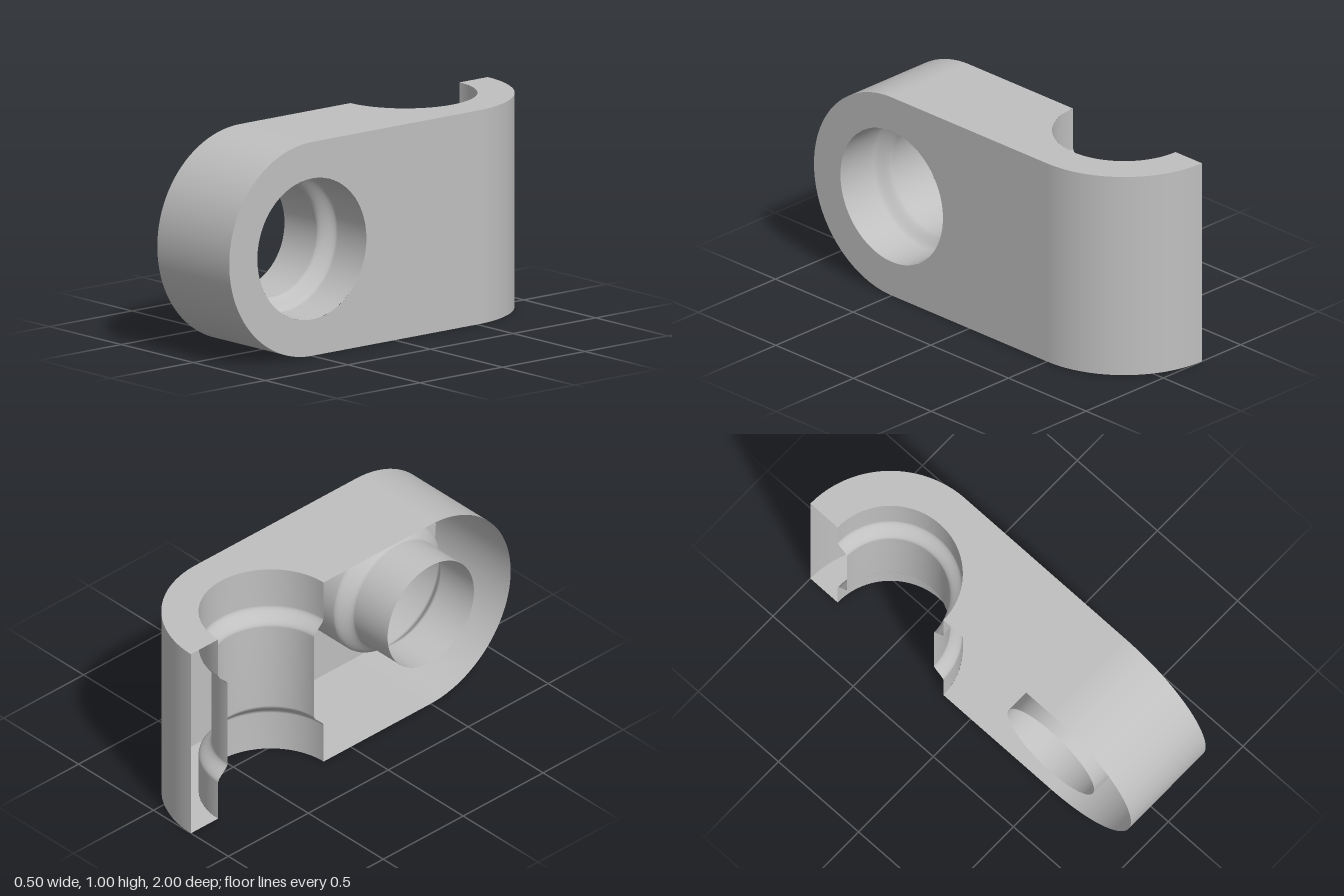
import * as THREE from 'three';

const steel = new THREE.MeshStandardMaterial({ color: 0xc0c0c0, side: THREE.DoubleSide });
steel.name = 'lightGrey';

const HALF = 0.5;    // end radius, half of the link height
const WIDE = 0.33;   // counterbore radius
const NARROW = 0.27; // inner bore radius
const CUT = -0.25;   // x of the open section plane

// Bore half-profile: narrow from the middle (0), easing out to wide at the mouth (0.5)
function boreProfile() {
  const points = [new THREE.Vector2(NARROW, 0)];
  for (let i = 0; i <= 8; i++) {
    const t = i / 8;
    const ease = t * t * (3 - 2 * t);
    points.push(new THREE.Vector2(NARROW + (WIDE - NARROW) * ease, 0.22 + 0.08 * t));
  }
  points.push(new THREE.Vector2(WIDE, 0.5));
  return points;
}

export function createModel() {
  const group = new THREE.Group();
  group.name = 'sectionedLink';
  const add = (name, geometry) => {
    const mesh = new THREE.Mesh(geometry, steel);
    mesh.name = name;
    group.add(mesh);
  };

  // Flat side with the round bore mouth (shape x is -z)
  const side = new THREE.Shape();
  side.moveTo(0.5, 0);
  side.lineTo(0.5, 1);
  side.lineTo(-0.5, 1);
  side.absarc(-0.5, 0.5, HALF, Math.PI / 2, Math.PI * 1.5, false);
  side.closePath();
  const mouth = new THREE.Path();
  mouth.absarc(-0.5, 0.5, WIDE, 0, Math.PI * 2, true);
  side.holes.push(mouth);
  add('sidePlate', new THREE.ShapeGeometry(side, 48).rotateY(Math.PI / 2).translate(0.25, 0, 0));

  // Top and bottom faces, rounded at the back and notched by the half bore (shape y is -z)
  const cap = new THREE.Shape();
  cap.moveTo(CUT, -0.5);
  cap.lineTo(0.25, -0.5);
  cap.lineTo(0.25, 0.5);
  cap.absarc(CUT, 0.5, HALF, 0, Math.PI / 2, false);
  cap.lineTo(CUT, 0.5 + WIDE);
  cap.absarc(CUT, 0.5, WIDE, Math.PI / 2, -Math.PI / 2, true);
  cap.closePath();
  for (const [name, y] of [['topPlate', 1], ['bottomPlate', 0]]) {
    add(name, new THREE.ShapeGeometry(cap, 48).rotateX(-Math.PI / 2).translate(0, y, 0));
  }

  // Rounded front wall, a half cylinder lying along x
  add('frontWall', new THREE.CylinderGeometry(HALF, HALF, 0.5, 48, 1, true, -Math.PI / 2, Math.PI)
    .rotateZ(Math.PI / 2).translate(0, 0.5, 0.5));

  // Rounded back wall, an upright quarter cylinder
  add('backWall', new THREE.CylinderGeometry(HALF, HALF, 1, 32, 1, true, Math.PI / 2, Math.PI / 2)
    .translate(CUT, 0.5, -0.5));

  // Cross bore, a stepped tube running from the section plane to the side
  const profile = boreProfile();
  add('crossBore', new THREE.LatheGeometry(profile, 64)
    .rotateZ(-Math.PI / 2).translate(CUT, 0.5, 0.5));

  // Upright bore, cut in half and stepped at both ends
  const lower = profile.slice(1).reverse().map((p) => new THREE.Vector2(p.x, -p.y));
  add('uprightBore', new THREE.LatheGeometry([...lower, ...profile], 40, 0, Math.PI)
    .translate(CUT, 0.5, -0.5));

  return group;
}
